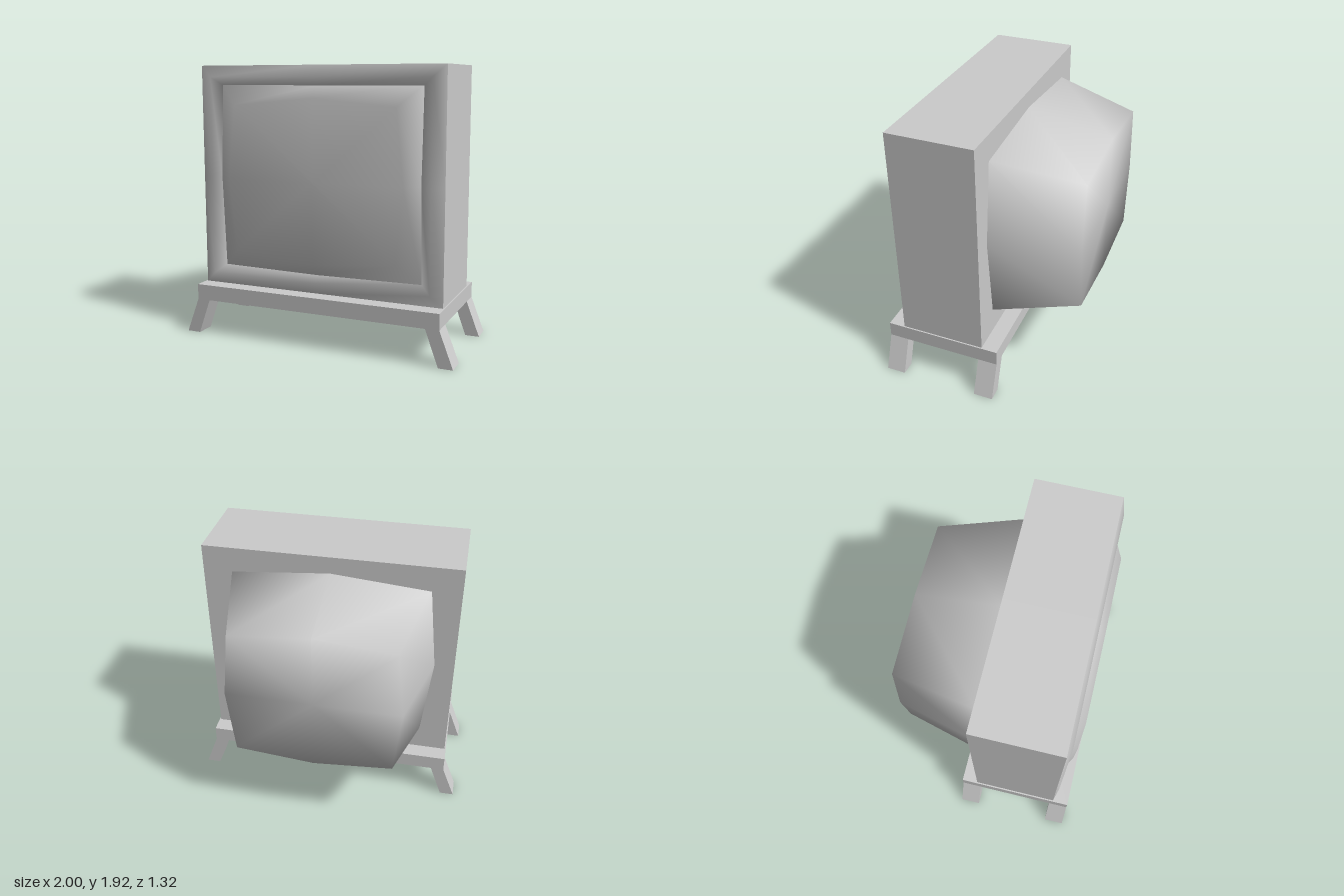
import * as THREE from 'three';

const CENTER_Y = 1.14;

// Eight-point rectangular ring: edge midpoints (hw, hh, z) and corners (cw, ch, cz)
function ring(hw, hh, z, cw = hw, ch = hh, cz = z) {
  return [
    [hw, 0, z], [cw, ch, cz], [0, hh, z], [-cw, ch, cz],
    [-hw, 0, z], [-cw, -ch, cz], [0, -hh, z], [cw, -ch, cz],
  ];
}

// Skin a series of rings; a zero-sized ring closes an end
function loft(rings, flat = false) {
  const n = 8;
  const index = [];
  for (let k = 0; k < rings.length - 1; k++) {
    for (let i = 0; i < n; i++) {
      const j = (i + 1) % n;
      const a = k * n + i, b = k * n + j;
      index.push(a, b, b + n, a, b + n, a + n);
    }
  }
  let geo = new THREE.BufferGeometry();
  geo.setAttribute('position', new THREE.Float32BufferAttribute(rings.flat(2), 3));
  geo.setIndex(index);
  if (flat) geo = geo.toNonIndexed();
  geo.computeVertexNormals();
  return geo;
}

export function createModel() {
  const model = new THREE.Group();
  const material = new THREE.MeshStandardMaterial({ color: 0xcccccc });

  function add(name, geometry, x = 0, y = 0, z = 0) {
    const mesh = new THREE.Mesh(geometry, material);
    mesh.name = name;
    mesh.position.set(x, y, z);
    model.add(mesh);
    return mesh;
  }

  // Cabinet shell, open at the front
  add('cabinet', loft([
    ring(0, 0, -0.06), ring(0.895, 0.78, -0.06), ring(0.895, 0.78, 0.545),
  ], true), 0, CENTER_Y);

  // Raised frame sloping down to the screen
  add('bezel', loft([
    ring(0.895, 0.78, 0.545), ring(0.81, 0.7, 0.573),
    ring(0.74, 0.645, 0.557, 0.74, 0.645, 0.52),
  ]), 0, CENTER_Y);

  // Bulging glass
  add('screen', loft([
    ring(0.74, 0.645, 0.557, 0.74, 0.645, 0.52),
    ring(0.64, 0.56, 0.622, 0.59, 0.51, 0.622),
    ring(0, 0, 0.626),
  ]), 0, CENTER_Y);

  // Tapering tube housing at the back
  const housing = add('backHousing', loft([
    ring(0.755, 0.658, 0.06, 0.69, 0.598),
    ring(0.605, 0.53, 0.66, 0.555, 0.48),
    ring(0, 0, 0.66),
  ]), 0, CENTER_Y);
  housing.rotation.y = Math.PI;

  // Stand top
  add('standTop', new THREE.BoxGeometry(1.81, 0.11, 0.835), 0, 0.305, 0.2425);

  // Splayed legs
  for (const side of [1, -1]) {
    const outline = [[0.9, 0], [1, 0], [0.905, 0.25], [0.81, 0.25]];
    const shape = new THREE.Shape(outline.map(([x, y]) => new THREE.Vector2(x * side, y)));
    const geometry = new THREE.ExtrudeGeometry(shape, { depth: 0.14, bevelEnabled: false });
    const label = side > 0 ? 'Left' : 'Right';
    add('front' + label + 'Leg', geometry, 0, 0, 0.52);
    add('back' + label + 'Leg', geometry, 0, 0, -0.175);
  }

  return model;
}
